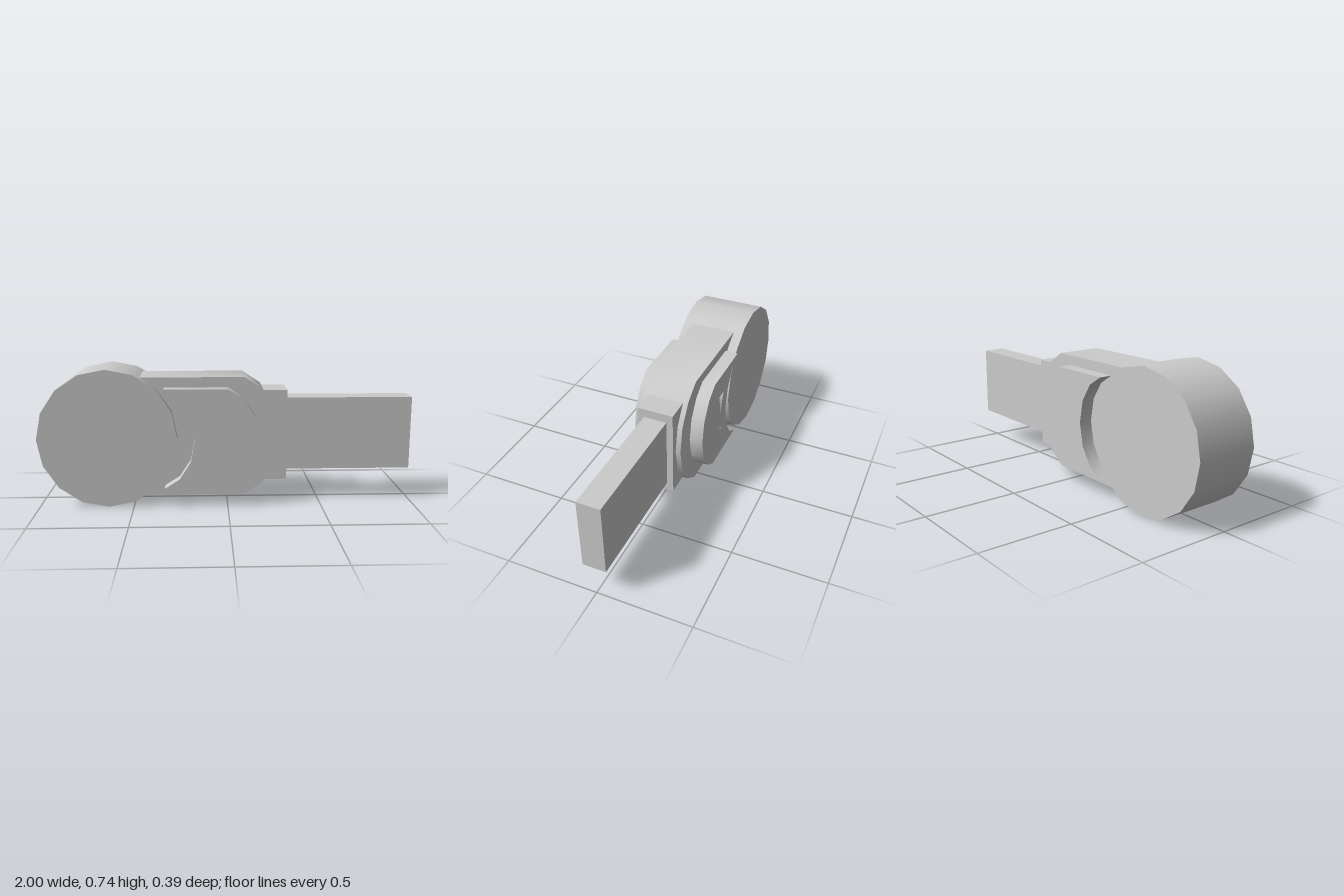
import * as THREE from 'three';
import { toCreasedNormals } from 'three/addons/utils/BufferGeometryUtils.js';

const MID_Y = 0.368;

// Closed outline from its upper half (listed from left to right around the top), mirrored about y = 0
function mirrored(points) {
  const lower = points.filter(([, y]) => y > 0).map(([x, y]) => [x, -y]);
  const right = points.findIndex(([, y], i) => y === 0 && i > 0);
  const upper = points.slice(0, right + 1);
  const outline = [...upper, ...lower.reverse()];
  return outline.map(([x, y]) => new THREE.Vector2(x, y));
}

// Prism extruded along z between z0 and z1
function prism(shape, z0, z1) {
  const geometry = new THREE.ExtrudeGeometry(shape, { depth: z1 - z0, bevelEnabled: false });
  geometry.translate(0, MID_Y, z0);
  return toCreasedNormals(geometry, 0.7);
}

export function createModel() {
  const group = new THREE.Group();
  const material = new THREE.MeshStandardMaterial({ color: 0xcccccc });
  const add = (name, geometry) => {
    const mesh = new THREE.Mesh(geometry, material);
    mesh.name = name;
    group.add(mesh);
    return mesh;
  };

  // Round end: sixteen-sided drum lying along z
  const drum = new THREE.CylinderGeometry(0.368, 0.368, 0.354, 16);
  drum.rotateX(Math.PI / 2);
  drum.rotateZ(Math.PI / 2);
  add('roundEnd', drum).position.set(-0.633, MID_Y, 0);

  // Main body with a rounded nose, its left end sunk into the drum
  const body = new THREE.Shape(mirrored([
    [-0.48, 0], [-0.48, 0.319], [0.09, 0.319], [0.188, 0.254], [0.262, 0.142], [0.288, 0],
  ]));
  add('body', prism(body, -0.124, 0.124));

  // Raised side plates: hollow left edge, rounded right edge, window through to the body
  const plate = new THREE.Shape(mirrored([
    [-0.172, 0], [-0.195, 0.122], [-0.255, 0.215], [-0.335, 0.266],
    [0.003, 0.266], [0.083, 0.213], [0.145, 0.118], [0.166, 0],
  ]));
  plate.holes.push(new THREE.Path(mirrored([
    [-0.096, 0], [-0.106, 0.073], [-0.132, 0.142],
    [0.008, 0.142], [0.038, 0.075], [0.049, 0],
  ])));
  add('frontPlate', prism(plate, 0.12, 0.196));
  add('backPlate', prism(plate, -0.196, -0.12));

  // Collar and flat plug
  add('collar', new THREE.BoxGeometry(0.13, 0.49, 0.194)).position.set(0.256, MID_Y, 0);
  add('plug', new THREE.BoxGeometry(0.72, 0.395, 0.124)).position.set(0.64, MID_Y, 0);

  return group;
}
